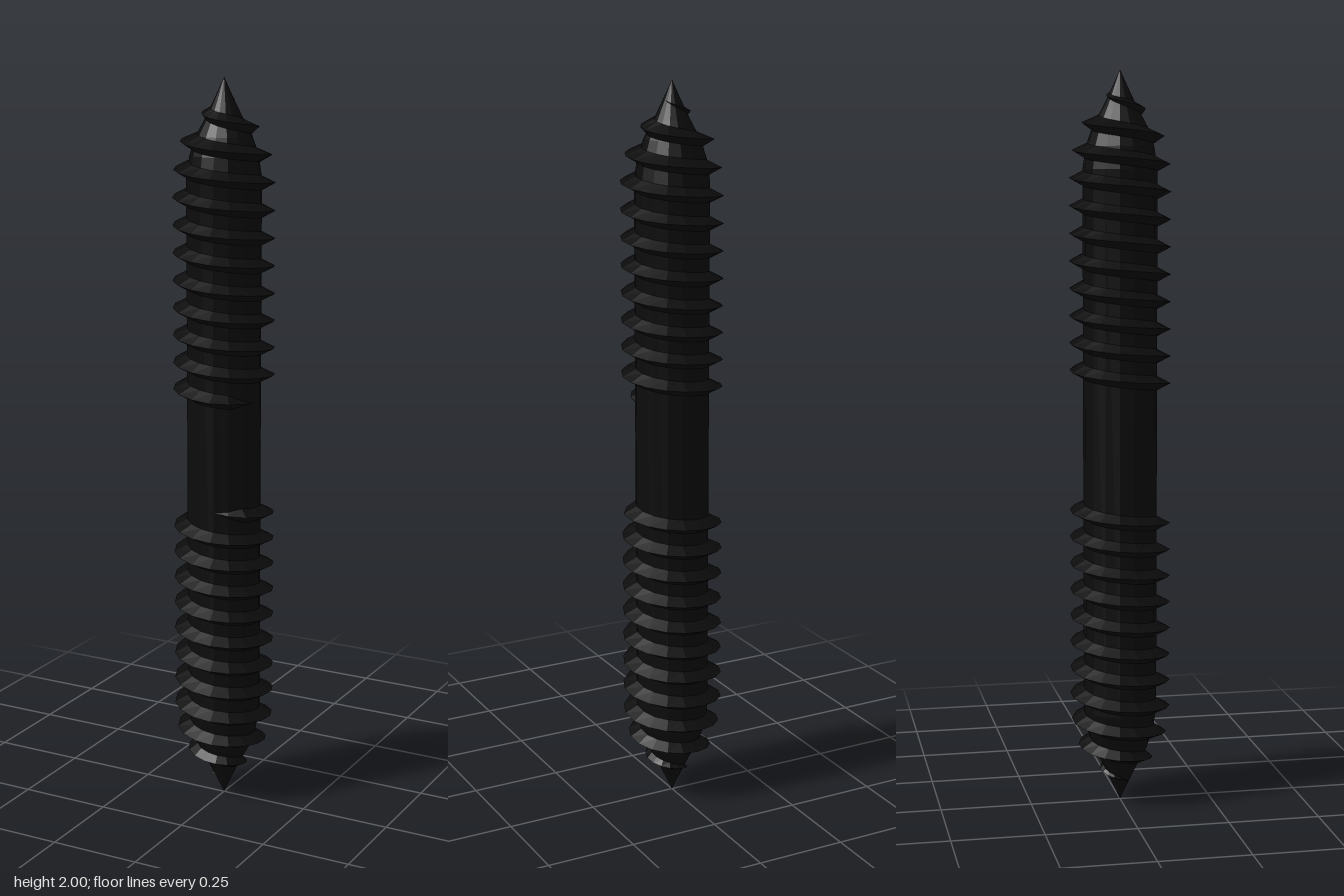
import * as THREE from 'three';

const SIDES = 16, STEP = (Math.PI * 2) / SIDES;
const SHANK = 0.1, TOOTH = 0.037, PITCH = 0.0733, HALF_WIDTH = 0.021;

// Tapered point: [distance from the tip, core radius]
const TAPER = [[0, 0], [0.05, 0.023], [0.1, 0.047], [0.15, 0.074], [0.2, 0.091], [0.26, SHANK]];

function coreRadius(y) {
  const d = 2 - y;
  for (let i = 1; i < TAPER.length; i++) {
    const [d0, r0] = TAPER[i - 1], [d1, r1] = TAPER[i];
    if (d <= d1) return r0 + (r1 - r0) * Math.max(0, (d - d0) / (d1 - d0));
  }
  return SHANK;
}

// Triangular ridge swept up a helix, fading out at both ends
function threadGeometry(startY, endY) {
  const count = Math.round(((endY - startY) / PITCH) * SIDES);
  const positions = [], index = [];
  for (let i = 0; i <= count; i++) {
    const angle = (i + 0.5) * STEP;
    const y = startY + ((i + 0.5) / SIDES) * PITCH;
    const fade = Math.min(1, i / 3, (count - i) / 20);
    const w = HALF_WIDTH * Math.min(1, fade * 1.5);
    const section = [
      [coreRadius(y - w) - 0.003, y - w],
      [coreRadius(y) + TOOTH * fade, y],
      [coreRadius(y + w) - 0.003, y + w],
    ];
    for (const [r, h] of section) {
      const radius = Math.max(0, r);
      positions.push(radius * Math.cos(angle), h, radius * Math.sin(angle));
    }
    if (i === count) break;
    for (let k = 0; k < 2; k++) {
      const a = i * 3 + k, b = a + 1, c = a + 3, d = a + 4;
      index.push(a, b, c, b, d, c);
    }
  }
  const geometry = new THREE.BufferGeometry();
  geometry.setAttribute('position', new THREE.Float32BufferAttribute(positions, 3));
  geometry.setIndex(index);
  geometry.computeVertexNormals();
  return geometry;
}

export function createModel() {
  const model = new THREE.Group();
  model.name = 'doubleEndedScrew';
  const material = new THREE.MeshStandardMaterial({ color: 0x0b0b0b, flatShading: true });

  // Core: plain shank with a tapered point at each end
  const profile = [
    ...TAPER.map(([d, r]) => new THREE.Vector2(r, d)),
    ...TAPER.map(([d, r]) => new THREE.Vector2(r, 2 - d)).reverse(),
  ];
  const core = new THREE.Mesh(new THREE.LatheGeometry(profile, SIDES, STEP / 2), material);
  core.name = 'core';
  model.add(core);

  // Upper thread, and the same thread turned end over end for the lower half
  const upper = threadGeometry(1.146, 1.95);
  const lower = upper.clone().translate(0, -1, 0);
  const axis = new THREE.Vector3(1, 0, 1).normalize();
  lower.applyMatrix4(new THREE.Matrix4().makeRotationAxis(axis, Math.PI)).translate(0, 1, 0);
  for (const [name, geometry] of [['upperThread', upper], ['lowerThread', lower]]) {
    const thread = new THREE.Mesh(geometry, material);
    thread.name = name;
    model.add(thread);
  }
  return model;
}
